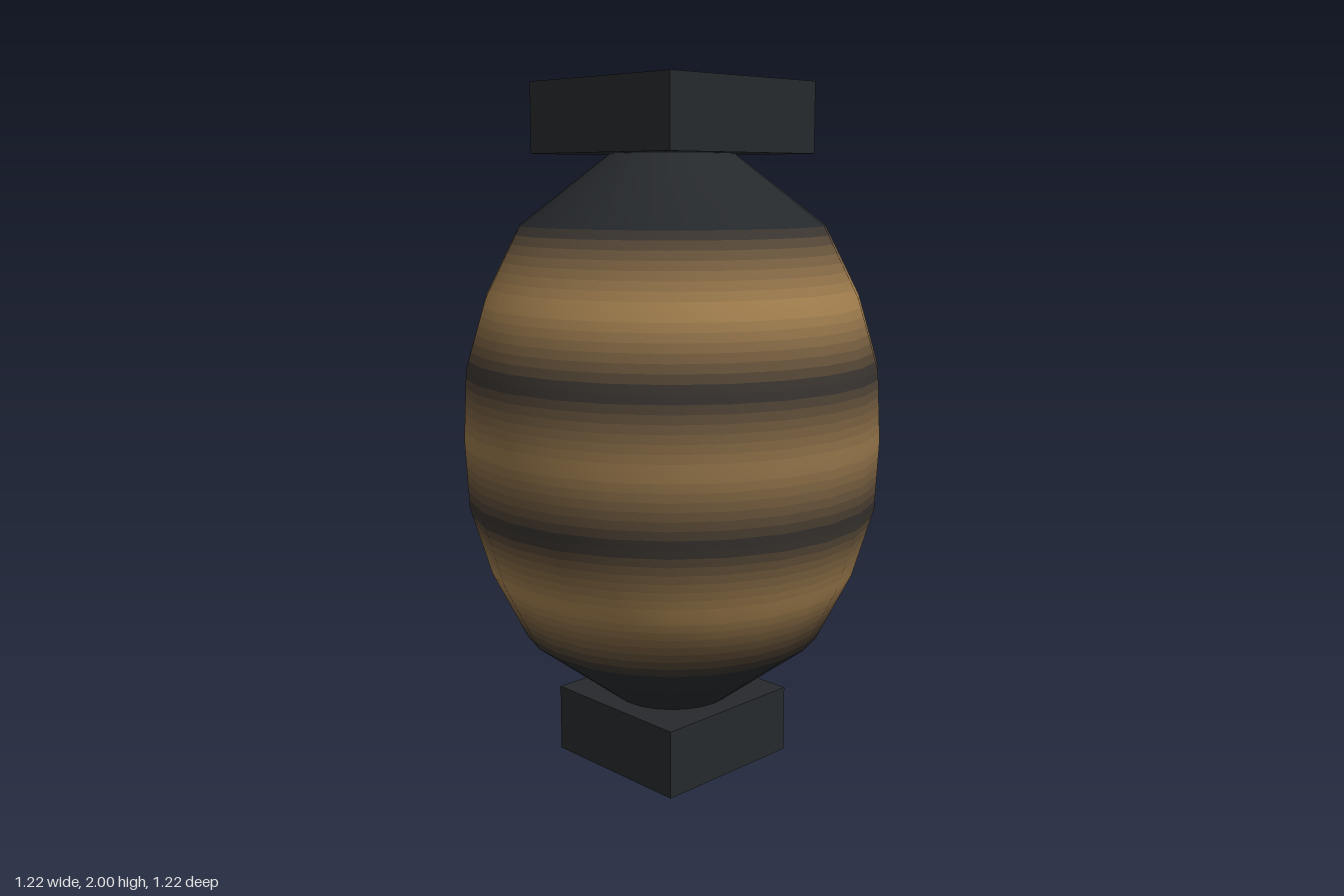
import * as THREE from 'three';

const SIDES = 24;
const SLICES = 8; // colour steps between two profile rings
const DARK = new THREE.Color(0x26292c);
const GOLD = new THREE.Color(0xa5814f);

// Rings of the body from bottom to top: radius, height, share of gold
const RINGS = [
  [0.18, 0.2, 0], [0.44, 0.4, 0], [0.54, 0.6, 1], [0.6, 0.8, 0], [0.61, 1, 0.8],
  [0.6, 1.2, 0], [0.54, 1.4, 1], [0.44, 1.6, 0], [0.18, 1.8, 0],
];

// Outward profile normal at each ring, averaged from its neighbours
const NORMALS = RINGS.map((_, i) => {
  const a = RINGS[Math.max(i - 1, 0)];
  const b = RINGS[Math.min(i + 1, RINGS.length - 1)];
  return new THREE.Vector2(b[1] - a[1], a[0] - b[0]).normalize();
});

// One conical strip between rings i and i + 1, from share t0 to t1
function strip(i, t0, t1) {
  const [r0, y0] = RINGS[i];
  const [r1, y1] = RINGS[i + 1];
  const point = t => new THREE.Vector2(r0 + (r1 - r0) * t, y0 + (y1 - y0) * t);
  const geometry = new THREE.LatheGeometry([point(t0), point(t1)], SIDES);

  // Smooth normals that run on from strip to strip
  const { position, normal } = geometry.attributes;
  for (let v = 0; v < position.count; v++) {
    const t = (position.getY(v) - y0) / (y1 - y0);
    const n = NORMALS[i].clone().lerp(NORMALS[i + 1], t).normalize();
    const angle = Math.atan2(position.getX(v), position.getZ(v));
    normal.setXYZ(v, Math.sin(angle) * n.x, n.y, Math.cos(angle) * n.x);
  }
  return geometry;
}

function paint(color) {
  return new THREE.MeshStandardMaterial({ color });
}

function block(name, width, height, y) {
  const mesh = new THREE.Mesh(new THREE.BoxGeometry(width, height, width), paint(DARK));
  mesh.name = name;
  mesh.position.y = y;
  return mesh;
}

export function createModel() {
  const model = new THREE.Group();
  model.name = 'stripedLantern';

  // Square base and cap
  model.add(block('base', 0.485, 0.2, 0.1), block('cap', 0.57, 0.2, 1.9));

  // Barrel body with stripes that fade from dark to gold
  const body = new THREE.Group();
  body.name = 'body';
  for (let i = 0; i < RINGS.length - 1; i++) {
    const g0 = RINGS[i][2];
    const g1 = RINGS[i + 1][2];
    const steps = g0 === g1 ? 1 : SLICES;
    for (let s = 0; s < steps; s++) {
      const gold = g0 + (g1 - g0) * (s + 0.5) / steps;
      const color = DARK.clone().lerp(GOLD, gold);
      const mesh = new THREE.Mesh(strip(i, s / steps, (s + 1) / steps), paint(color));
      mesh.name = steps === 1 ? 'bodyEnd' : 'stripe';
      body.add(mesh);
    }
  }
  model.add(body);
  return model;
}
